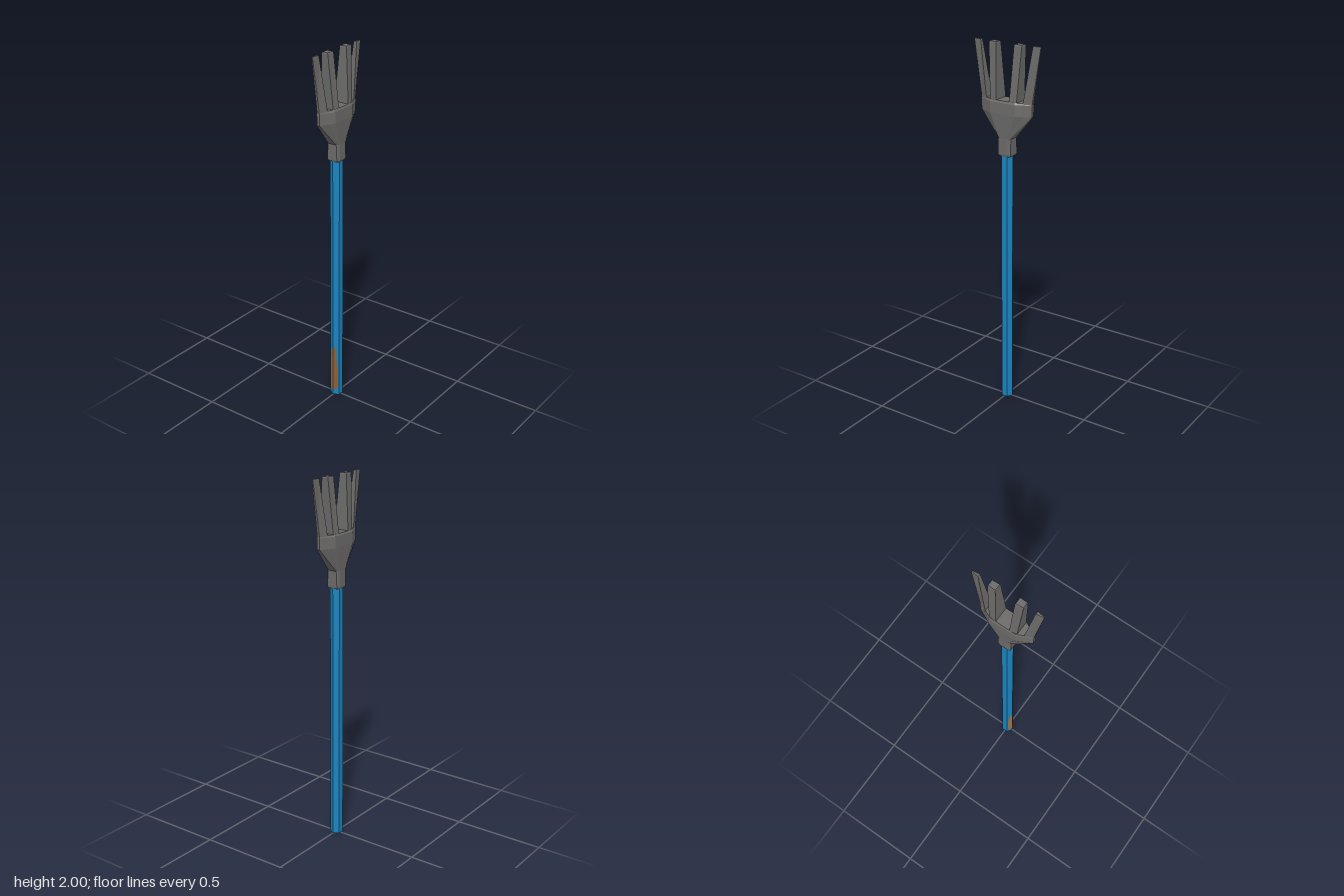
import * as THREE from 'three';

const material = (name, color, extra = {}) => {
  const m = new THREE.MeshStandardMaterial({ color, flatShading: true, ...extra });
  m.name = name;
  return m;
};

// Closed loft through rings of { y, pts: [[x, z], ...] }, counter-clockwise from above
function loft(rings) {
  const pos = [];
  const n = rings[0].pts.length;
  const at = (r, j) => [r.pts[j % n][0], r.y, r.pts[j % n][1]];
  const centre = (r) => [0, r.y, r.pts.reduce((s, p) => s + p[1], 0) / n];
  for (let i = 0; i < rings.length - 1; i++) {
    const lo = rings[i], hi = rings[i + 1];
    for (let j = 0; j < n; j++) {
      const a = at(lo, j), b = at(lo, j + 1), c = at(hi, j + 1), d = at(hi, j);
      pos.push(...a, ...b, ...c, ...a, ...c, ...d);
    }
  }
  const bottom = rings[0], top = rings[rings.length - 1];
  for (let j = 0; j < n; j++) {
    pos.push(...centre(top), ...at(top, j), ...at(top, j + 1));
    pos.push(...centre(bottom), ...at(bottom, j + 1), ...at(bottom, j));
  }
  const g = new THREE.BufferGeometry();
  g.setAttribute('position', new THREE.Float32BufferAttribute(pos, 3));
  g.computeVertexNormals();
  return g;
}

// Twelve-sided head section from three corners [x, z] of one quadrant
function section(y, ...quarter) {
  const front = [...quarter].reverse();
  return {
    y,
    pts: [
      ...front,
      ...quarter.map(([x, z]) => [x, -z]),
      ...front.map(([x, z]) => [-x, -z]),
      ...quarter.map(([x, z]) => [-x, z]),
    ],
  };
}

// Four-sided tine section: half-widths at its inner and outer edges
const tineRing = (y, zIn, xIn, zOut, xOut) => ({
  y, pts: [[xOut, zOut], [xIn, zIn], [-xIn, zIn], [-xOut, zOut]],
});

export function createModel() {
  const group = new THREE.Group();
  group.name = 'handFork';
  const blue = material('blue paint', 0x1b83be);
  const grey = material('grey metal', 0x6c6b6a);
  const tan = material('worn wood', 0x9c7348, { side: THREE.DoubleSide });
  const brown = material('bare wood', 0x86603e, { side: THREE.DoubleSide });

  const add = (name, geometry, mat) => {
    const mesh = new THREE.Mesh(geometry, mat);
    mesh.name = name;
    group.add(mesh);
    return mesh;
  };

  // Six-sided handle with a corner to the front
  const R = 0.034;
  const handle = add('handle', new THREE.CylinderGeometry(R, R, 1.44, 6), blue);
  handle.position.y = 0.72;

  // Worn patches on the two front faces, measured out from the front corner
  const patch = (name, side, points, mat) => {
    const shape = new THREE.Shape(points.map(([u, y]) => new THREE.Vector2(side * u, y)));
    const mesh = add(name, new THREE.ShapeGeometry(shape), mat);
    mesh.rotation.y = side * Math.PI / 6;
    mesh.position.set(side * 0.0006, 0, R + 0.001);
  };
  patch('wornPatchRight', -1,
    [[0, 0.03], [0.024, 0.03], [0.028, 0.07], [0.028, 0.2], [0.017, 0.28], [0.011, 0.3], [0, 0.3]], tan);
  patch('wornPatchLeft', 1,
    [[0, 0.03], [0.029, 0.04], [0.029, 0.16], [0.02, 0.22], [0.018, 0.29], [0.01, 0.31], [0, 0.3]], brown);

  // Collar flaring into the broad, thin-edged head
  add('collarAndHead', loft([
    section(1.415, [0.034, 0.02], [0.031, 0.03], [0.027, 0.036]),
    section(1.425, [0.037, 0.022], [0.034, 0.032], [0.03, 0.039]),
    section(1.51, [0.037, 0.022], [0.034, 0.032], [0.026, 0.039]),
    section(1.64, [0.047, 0.075], [0.03, 0.108], [0.008, 0.153]),
    section(1.70, [0.047, 0.075], [0.03, 0.108], [0.008, 0.155]),
    section(1.71, [0.042, 0.073], [0.027, 0.105], [0.005, 0.15]),
  ]), grey);

  // Two tines on each side, spreading and tapering upward
  const inner = loft([
    tineRing(1.69, 0.038, 0.045, 0.08, 0.04),
    tineRing(1.71, 0.039, 0.043, 0.08, 0.038),
    tineRing(1.993, 0.053, 0.021, 0.098, 0.019),
    tineRing(2, 0.055, 0.018, 0.096, 0.016),
  ]);
  const outer = loft([
    tineRing(1.69, 0.109, 0.028, 0.152, 0.008),
    tineRing(1.71, 0.111, 0.026, 0.154, 0.007),
    tineRing(1.993, 0.155, 0.009, 0.198, 0.003),
    tineRing(2, 0.157, 0.008, 0.197, 0.002),
  ]);
  ['front', 'back'].forEach((end, i) => {
    add(end + 'InnerTine', inner, grey).rotation.y = i * Math.PI;
    add(end + 'OuterTine', outer, grey).rotation.y = i * Math.PI;
  });

  return group;
}
